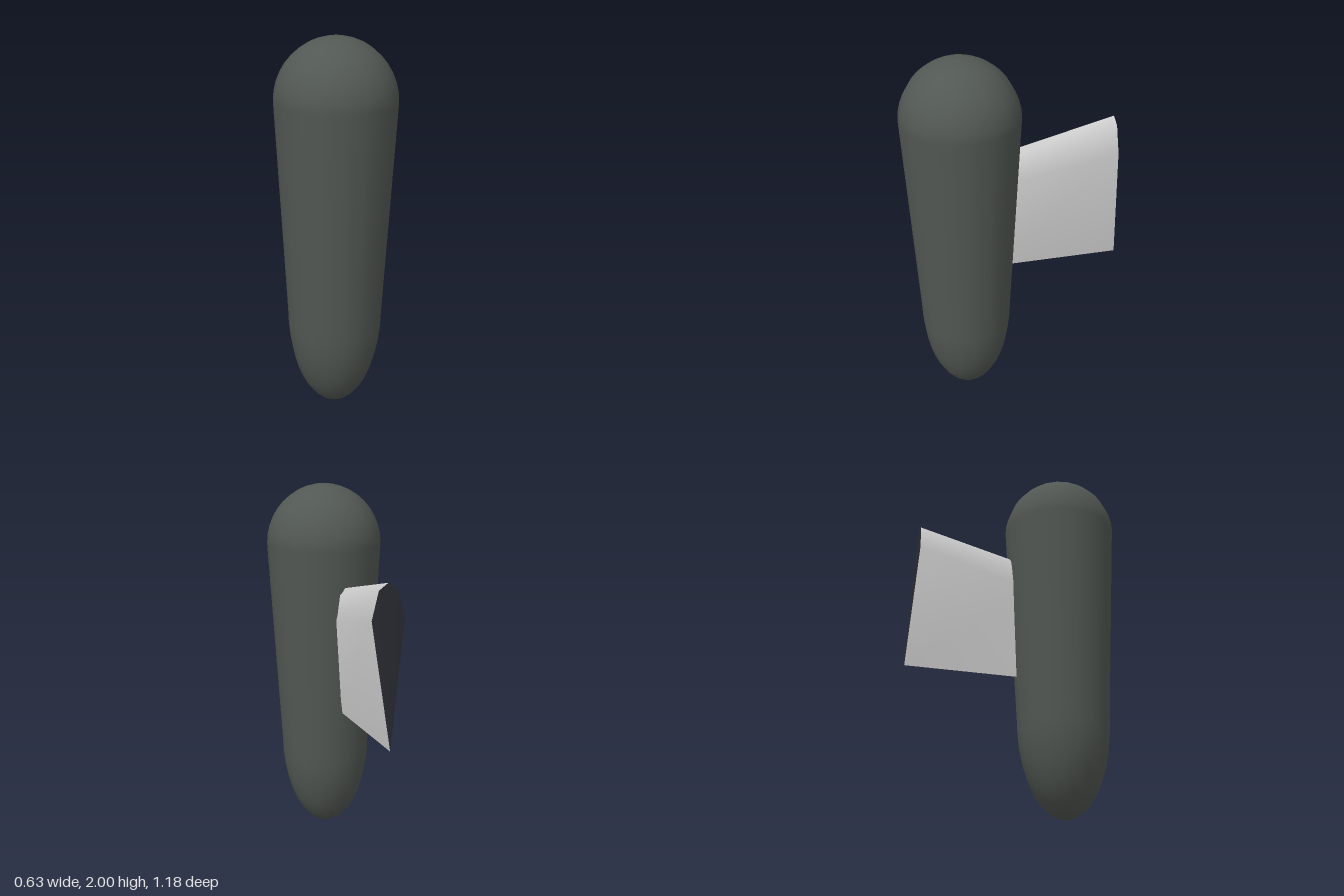
import * as THREE from 'three';
import { toCreasedNormals } from 'three/addons/utils/BufferGeometryUtils.js';

const bodyGreen = new THREE.MeshStandardMaterial({ name: 'darkGreenGrey', color: 0x525853 });
const finGrey = new THREE.MeshStandardMaterial({ name: 'lightGrey', color: 0xcfcfcf });
const capDark = new THREE.MeshStandardMaterial({ name: 'nearBlack', color: 0x2a2a33 });

// Teardrop section of the fin: pointed at the bottom, ridged at the top.
function finSection({ bottom, side, mid, top }) {
  const right = [side, mid];
  const left = [mid, side].map(([x, y, z]) => [-x, y, z]);
  return [bottom, ...right, top, ...left].map((p) => new THREE.Vector3(...p));
}

function fromTriangles(points) {
  const geometry = new THREE.BufferGeometry().setFromPoints(points);
  geometry.computeVertexNormals();
  return geometry;
}

function createBody() {
  const profile = [];
  // Long elliptical tip
  for (let i = 0; i <= 10; i++) {
    const a = (i / 10) * Math.PI / 2;
    profile.push(new THREE.Vector2(0.25 * Math.sin(a), 0.53 * (1 - Math.cos(a))));
  }
  // Widening shaft runs up into the round dome
  for (let i = 0; i <= 10; i++) {
    const a = (i / 10) * Math.PI / 2;
    profile.push(new THREE.Vector2(0.314 * Math.cos(a), 1.675 + 0.325 * Math.sin(a)));
  }
  profile[0].x = 0;
  profile[profile.length - 1].x = 0;
  const body = new THREE.Mesh(new THREE.LatheGeometry(profile, 18, Math.PI / 2), bodyGreen);
  body.name = 'body';
  body.position.z = 0.28;
  return body;
}

function createFin() {
  const root = finSection({
    bottom: [0, 0.76, 0.1], side: [0.04, 1.28, 0.1], mid: [0.024, 1.415, 0.1], top: [0, 1.45, 0.1],
  });
  const tip = finSection({
    bottom: [0, 0.76, -0.588], side: [0.089, 1.43, -0.546], mid: [0.051, 1.575, -0.542], top: [0, 1.61, -0.54],
  });

  const skin = [];
  const cap = [];
  const n = root.length;
  for (let i = 0; i < n; i++) {
    const j = (i + 1) % n;
    skin.push(root[i], tip[i], tip[j], root[i], tip[j], root[j]);
    if (i > 0 && i < n - 1) cap.push(tip[0], tip[i + 1], tip[i]);
  }

  const fin = new THREE.Group();
  fin.name = 'fin';
  // Sides blend smoothly, ridge and lower edge stay sharp
  const sides = new THREE.Mesh(toCreasedNormals(fromTriangles(skin), 0.85), finGrey);
  sides.name = 'finSides';
  const end = new THREE.Mesh(fromTriangles(cap), capDark);
  end.name = 'finEnd';
  fin.add(sides, end);
  return fin;
}

export function createModel() {
  const model = new THREE.Group();
  model.name = 'finnedPod';
  model.add(createBody(), createFin());
  return model;
}
